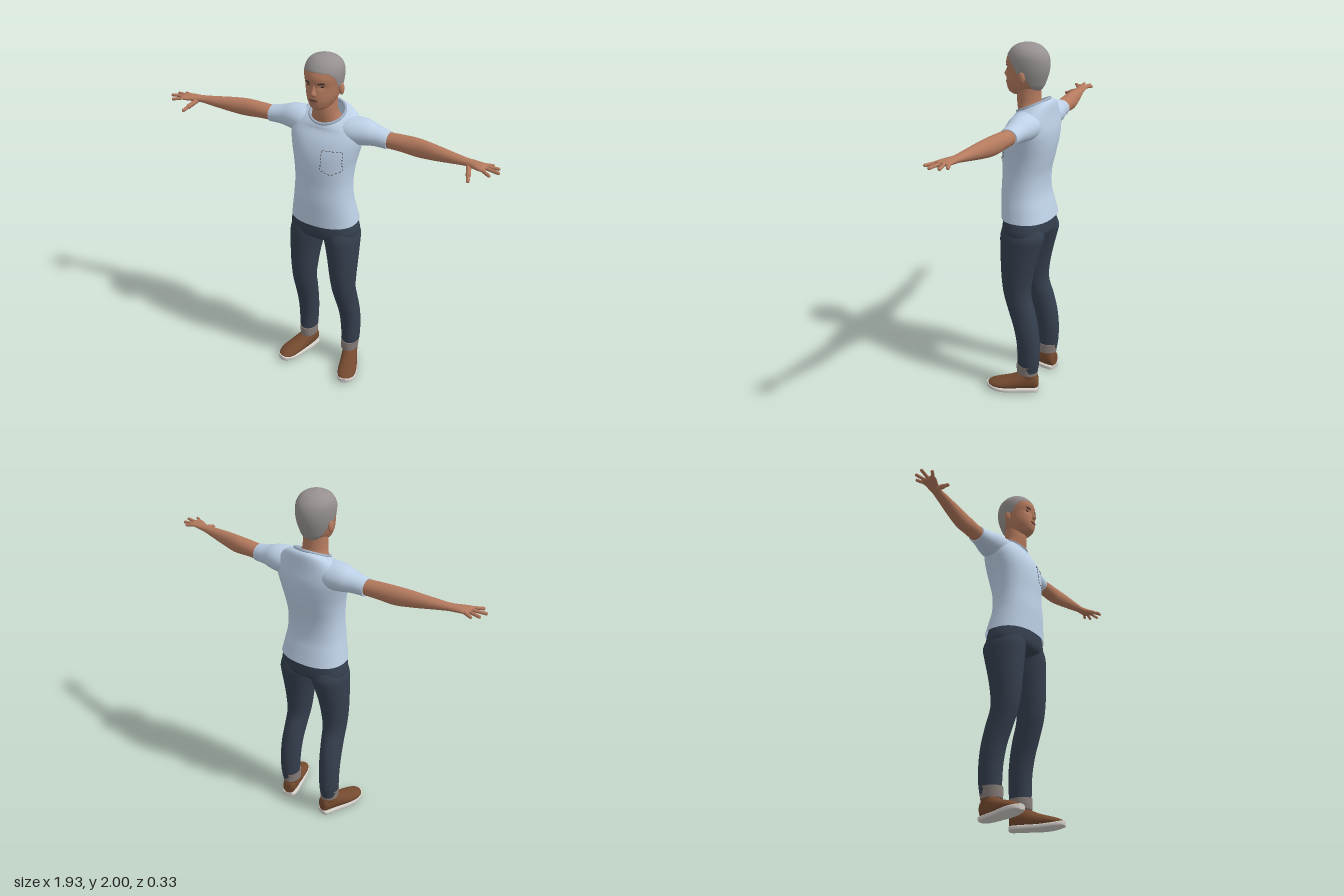
import * as THREE from 'three';

const mat = (name, color, side = THREE.FrontSide) => {
  const m = new THREE.MeshStandardMaterial({ color, side });
  m.name = name;
  return m;
};

// Cubic interpolation through rows of section numbers
function dense(secs, steps) {
  const out = [], n = secs.length - 1;
  for (let i = 0; i < n; i++) {
    const a = secs[Math.max(i - 1, 0)], b = secs[i], c = secs[i + 1], d = secs[Math.min(i + 2, n)];
    for (let s = 0; s < steps; s++) {
      const t = s / steps;
      out.push(b.map((_, k) => {
        const m0 = (c[k] - a[k]) / 2, m1 = (d[k] - b[k]) / 2;
        return b[k] + t * (m0 + t * (3 * (c[k] - b[k]) - 2 * m0 - m1 + t * (2 * (b[k] - c[k]) + m0 + m1)));
      }));
    }
  }
  out.push(secs[n]);
  return out;
}

// Skin of superellipse rings. Section: [t, cu, cv, ru, rv, slope]; (u, v) = y:(x,z)  x:(z,y)  z:(y,x)
function loft(axis, secs, { seg = 32, steps = 5, n = 2, caps = true, tweak, paint } = {}) {
  const rows = dense(secs.map(s => [...s, 0].slice(0, 6)), steps);
  const pts = [], faces = [[], []];
  const place = (t, u, v) => axis === 'y' ? new THREE.Vector3(u, t, v)
    : axis === 'x' ? new THREE.Vector3(t, v, u) : new THREE.Vector3(v, u, t);
  const bend = c => Math.sign(c) * Math.abs(c) ** (2 / n);
  for (const [t, cu, cv, ru, rv, slope] of rows) {
    for (let j = 0; j < seg; j++) {
      const a = j / seg * Math.PI * 2, w = Math.max(rv, 0.001) * bend(Math.sin(a));
      const p = place(t + slope * w, cu + Math.max(ru, 0.001) * bend(Math.cos(a)), cv + w);
      if (tweak) tweak(p);
      pts.push(p);
    }
  }
  const tri = (...f) => {
    const mid = pts[f[0]].clone().add(pts[f[1]]).add(pts[f[2]]).divideScalar(3);
    faces[paint ? paint(mid) : 0].push(...f);
  };
  for (let i = 0; i < rows.length - 1; i++) for (let j = 0; j < seg; j++) {
    const a = i * seg + j, b = i * seg + (j + 1) % seg;
    tri(a, a + seg, b);
    tri(b, a + seg, b + seg);
  }
  if (caps) for (const end of [0, rows.length - 1]) {
    const base = pts.length, ring = pts.slice(end * seg, end * seg + seg).map(p => p.clone());
    const mid = ring.reduce((s, p) => s.add(p), new THREE.Vector3()).divideScalar(seg);
    pts.push(...ring, mid);
    for (let j = 0; j < seg; j++) {
      const a = base + j, b = base + (j + 1) % seg;
      end ? tri(b, a, base + seg) : tri(a, b, base + seg);
    }
  }
  const g = new THREE.BufferGeometry().setFromPoints(pts);
  g.setIndex([...faces[0], ...faces[1]]);
  if (paint) {
    g.addGroup(0, faces[0].length, 0);
    g.addGroup(faces[0].length, faces[1].length, 1);
  }
  g.computeVertexNormals();
  return g;
}

function mirrored(geo) {
  const g = geo.clone().scale(-1, 1, 1), ix = g.index.array;
  for (let i = 0; i < ix.length; i += 3) [ix[i], ix[i + 1]] = [ix[i + 1], ix[i]];
  g.computeVertexNormals();
  return g;
}

function capsule(a, b, r) {
  const A = new THREE.Vector3(...a), B = new THREE.Vector3(...b), d = B.clone().sub(A);
  const q = new THREE.Quaternion().setFromUnitVectors(new THREE.Vector3(0, 1, 0), d.clone().normalize());
  const m = A.clone().add(B).multiplyScalar(0.5);
  return new THREE.CapsuleGeometry(r, d.length(), 4, 10).applyQuaternion(q).translate(m.x, m.y, m.z);
}

const blob = (x, y, z, sx, sy, sz) => new THREE.SphereGeometry(1, 16, 12).scale(sx, sy, sz).translate(x, y, z);

export function createModel() {
  const model = new THREE.Group();
  const skin = mat('skin', 0xb47a5e), hair = mat('grey hair', 0x969190), denim = mat('dark denim', 0x353f4e);
  const shirt = mat('pale blue cotton', 0xbdd0e6, THREE.DoubleSide), trim = mat('collar trim', 0x9fb0c4);
  const leather = mat('brown leather', 0x744a2f), sole = mat('sole rubber', 0xd2cec9);
  const cuff = mat('turned cuff', 0x877d79), dark = mat('dark detail', 0x3a302c), lip = mat('lips', 0x8a5346);
  const add = (name, geo, m) => {
    const mesh = new THREE.Mesh(geo, m);
    mesh.name = name;
    model.add(mesh);
  };
  const pair = (name, geo, m) => {
    add('left ' + name, geo, m);
    add('right ' + name, mirrored(geo), m);
  };

  // Head, with the hair area raised a little and coloured by a hairline rule
  const line = [[1.755, -0.06], [1.82, -0.025], [1.85, 0.02], [1.9, 0.05], [1.925, 0.075], [1.94, 0.12], [2.1, 0.3]];
  const isHair = p => {
    const i = line.findIndex(l => l[0] > p.y);
    if (i < 1) return 0;
    const [y0, z0] = line[i - 1], [y1, z1] = line[i];
    return p.z < z0 + (z1 - z0) * (p.y - y0) / (y1 - y0) ? 1 : 0;
  };
  add('head and hair', loft('y', [
    [1.725, 0, 0.045, 0.03, 0.035], [1.74, 0, 0.02, 0.052, 0.082], [1.77, 0, 0.01, 0.07, 0.102],
    [1.8, 0, 0.004, 0.081, 0.109], [1.85, 0, -0.006, 0.092, 0.114], [1.9, 0, -0.006, 0.098, 0.117],
    [1.94, 0, -0.008, 0.094, 0.104], [1.97, 0, -0.006, 0.077, 0.08], [1.988, 0, -0.005, 0.05, 0.05],
    [1.999, 0, -0.005, 0.005, 0.005]], {
    seg: 96, steps: 8, paint: isHair,
    tweak: p => {
      if (isHair(p)) { p.x *= 1.025; p.z *= 1.025; }
      const e = ((Math.abs(p.x) - 0.036) / 0.018) ** 2 + ((p.y - 1.86) / 0.013) ** 2;
      if (p.z > 0) p.z -= 0.009 * Math.exp(-e);
    }
  }), [skin, hair]);
  add('nose', loft('y', [[1.805, 0, 0.1, 0.012, 0.01], [1.815, 0, 0.1, 0.017, 0.024], [1.828, 0, 0.1, 0.014, 0.03],
    [1.845, 0, 0.1, 0.01, 0.021], [1.875, 0, 0.098, 0.007, 0.01]], { seg: 20 }), skin);
  pair('ear', blob(0.095, 1.825, -0.012, 0.012, 0.031, 0.019), skin);
  pair('eye', blob(0.036, 1.86, 0.09, 0.012, 0.005, 0.004), dark);
  pair('eyebrow', blob(0, 0, 0, 0.019, 0.0045, 0.004).rotateZ(0.1).rotateY(0.35).translate(0.037, 1.879, 0.1), dark);
  add('upper lip', blob(0, 1.789, 0.111, 0.025, 0.004, 0.004), dark);
  add('lower lip', blob(0, 1.782, 0.111, 0.021, 0.005, 0.005), lip);
  add('neck', loft('y', [[1.58, 0, -0.045, 0.1, 0.075], [1.63, 0, -0.04, 0.09, 0.08], [1.68, 0, -0.018, 0.071, 0.067],
    [1.72, 0, -0.013, 0.066, 0.065], [1.78, 0, -0.015, 0.063, 0.065]]), skin);

  // T-shirt: body, sleeves, collar band
  const body = [[1.05, 0, -0.02, 0.194, 0.142], [1.12, 0, -0.01, 0.181, 0.134], [1.2, 0, 0, 0.167, 0.126],
    [1.3, 0, -0.003, 0.161, 0.124], [1.4, 0, -0.014, 0.17, 0.135], [1.48, 0, -0.026, 0.188, 0.138],
    [1.55, 0, -0.04, 0.203, 0.128], [1.61, 0, -0.05, 0.195, 0.108, -0.1], [1.655, 0, -0.048, 0.145, 0.1, -0.38],
    [1.672, 0, -0.04, 0.095, 0.085, -0.45]].map(s => [...s, 0].slice(0, 6));
  add('shirt body', loft('y', body, { seg: 48, n: 2.3, caps: false }), shirt);
  pair('sleeve', loft('x', [[0.08, -0.05, 1.595, 0.08, 0.06], [0.15, -0.055, 1.59, 0.087, 0.073],
    [0.22, -0.06, 1.591, 0.076, 0.068], [0.28, -0.058, 1.586, 0.06, 0.054], [0.35, -0.054, 1.578, 0.051, 0.046]]), shirt);
  const ring = Array.from({ length: 32 }, (_, i) => {
    const a = i / 16 * Math.PI, s = Math.sin(a) * 0.085;
    return new THREE.Vector3(0.095 * Math.cos(a), 1.673 - 0.45 * s, -0.04 + s);
  });
  add('collar band', new THREE.TubeGeometry(new THREE.CatmullRomCurve3(ring, true), 64, 0.008, 8, true), trim);

  // Dashed stitching of the chest pocket, laid on the shirt front
  const fine = dense(body, 20);
  const onShirt = ([x, y]) => {
    const [, , cz, rx, rz] = fine.find(r => r[0] >= y);
    return new THREE.Vector3(x, y, cz + rz * (1 - (x / rx) ** 2.3) ** (1 / 2.3) + 0.002);
  };
  const pocket = [[0.04, 1.515], [0.04, 1.405], [0.092, 1.382], [0.145, 1.405], [0.145, 1.515], [0.04, 1.515]];
  const stitches = new THREE.Group();
  stitches.name = 'pocket stitching';
  for (let i = 0; i < pocket.length - 1; i++) {
    const [a, b] = [pocket[i], pocket[i + 1]], count = Math.round(Math.hypot(b[0] - a[0], b[1] - a[1]) / 0.017);
    const at = t => onShirt([a[0] + (b[0] - a[0]) * t, a[1] + (b[1] - a[1]) * t]);
    for (let k = 0; k < count; k++) {
      const path = new THREE.LineCurve3(at((k + 0.2) / count), at((k + 0.75) / count));
      stitches.add(new THREE.Mesh(new THREE.TubeGeometry(path, 1, 0.0016, 5), dark));
    }
  }
  model.add(stitches);

  // Arms, hands and fingers
  pair('arm', loft('x', [[0.32, -0.054, 1.578, 0.044, 0.04], [0.42, -0.051, 1.581, 0.044, 0.044],
    [0.51, -0.046, 1.58, 0.041, 0.049], [0.6, -0.033, 1.582, 0.037, 0.042], [0.7, -0.018, 1.585, 0.031, 0.029],
    [0.78, -0.006, 1.588, 0.026, 0.019], [0.83, 0.006, 1.59, 0.034, 0.017], [0.87, 0.016, 1.591, 0.042, 0.013],
    [0.89, 0.018, 1.591, 0.036, 0.009]]), skin);
  const fingers = [[[0.865, 1.59, -0.016], [0.908, 1.586, -0.032]], [[0.875, 1.592, 0.002], [0.942, 1.588, -0.009]],
    [[0.88, 1.593, 0.02], [0.955, 1.59, 0.035]], [[0.87, 1.592, 0.042], [0.922, 1.588, 0.076]]];
  fingers.forEach(([a, b], i) => pair('finger ' + (i + 1), capsule(a, b, 0.0085), skin));
  pair('thumb base', capsule([0.8, 1.583, 0.012], [0.822, 1.562, 0.072], 0.013), skin);
  pair('thumb', capsule([0.822, 1.562, 0.072], [0.833, 1.55, 0.107], 0.0095), skin);

  // Jeans
  add('jeans seat', loft('y', [[0.925, 0, -0.02, 0.13, 0.05], [0.945, 0, -0.02, 0.175, 0.1], [0.97, 0, -0.02, 0.198, 0.128],
    [1.01, 0, -0.018, 0.2, 0.133], [1.07, 0, -0.016, 0.183, 0.128]], { seg: 48, n: 2.2 }), denim);
  pair('trouser leg', loft('y', [[0.13, 0.145, -0.07, 0.048, 0.06], [0.2, 0.145, -0.075, 0.054, 0.065],
    [0.3, 0.143, -0.073, 0.058, 0.068], [0.4, 0.14, -0.058, 0.06, 0.073], [0.5, 0.134, -0.03, 0.061, 0.08],
    [0.6, 0.129, 0, 0.067, 0.08], [0.7, 0.125, 0.004, 0.076, 0.09], [0.8, 0.12, -0.003, 0.085, 0.103],
    [0.9, 0.111, -0.014, 0.095, 0.119], [0.96, 0.104, -0.02, 0.1, 0.126], [1.02, 0.095, -0.017, 0.09, 0.11]]), denim);
  pair('cuff', loft('y', [[0.112, 0.143, -0.067, 0.05, 0.062], [0.14, 0.143, -0.067, 0.052, 0.064],
    [0.172, 0.144, -0.07, 0.054, 0.066]]), cuff);

  // Shoes, turned out from the ankle
  const foot = g => g.rotateY(0.29).translate(0.145, 0, -0.072);
  const upper = [[-0.06, 0.055, 0, 0.035, 0.018], [-0.048, 0.065, 0, 0.05, 0.036], [0, 0.07, 0, 0.064, 0.044],
    [0.05, 0.06, 0.003, 0.054, 0.048], [0.1, 0.05, 0.007, 0.042, 0.053], [0.16, 0.043, 0.009, 0.031, 0.055],
    [0.2, 0.039, 0.007, 0.023, 0.046], [0.226, 0.036, 0.004, 0.014, 0.03], [0.237, 0.034, 0.003, 0.007, 0.01]];
  pair('shoe upper', foot(loft('z', upper)), leather);
  pair('shoe collar', foot(loft('y', [[0.06, 0, 0, 0.043, 0.056], [0.1, 0, -0.003, 0.043, 0.054],
    [0.135, 0, -0.003, 0.041, 0.05]])), leather);
  pair('shoe sole', foot(loft('z', upper.map(([z, , cx, , rx]) =>
    [z * 1.02, 0.0145 + Math.max(0, z - 0.13) * 0.14, cx, 0.0145, rx + 0.004]), { n: 4 })), sole);
  return model;
}
